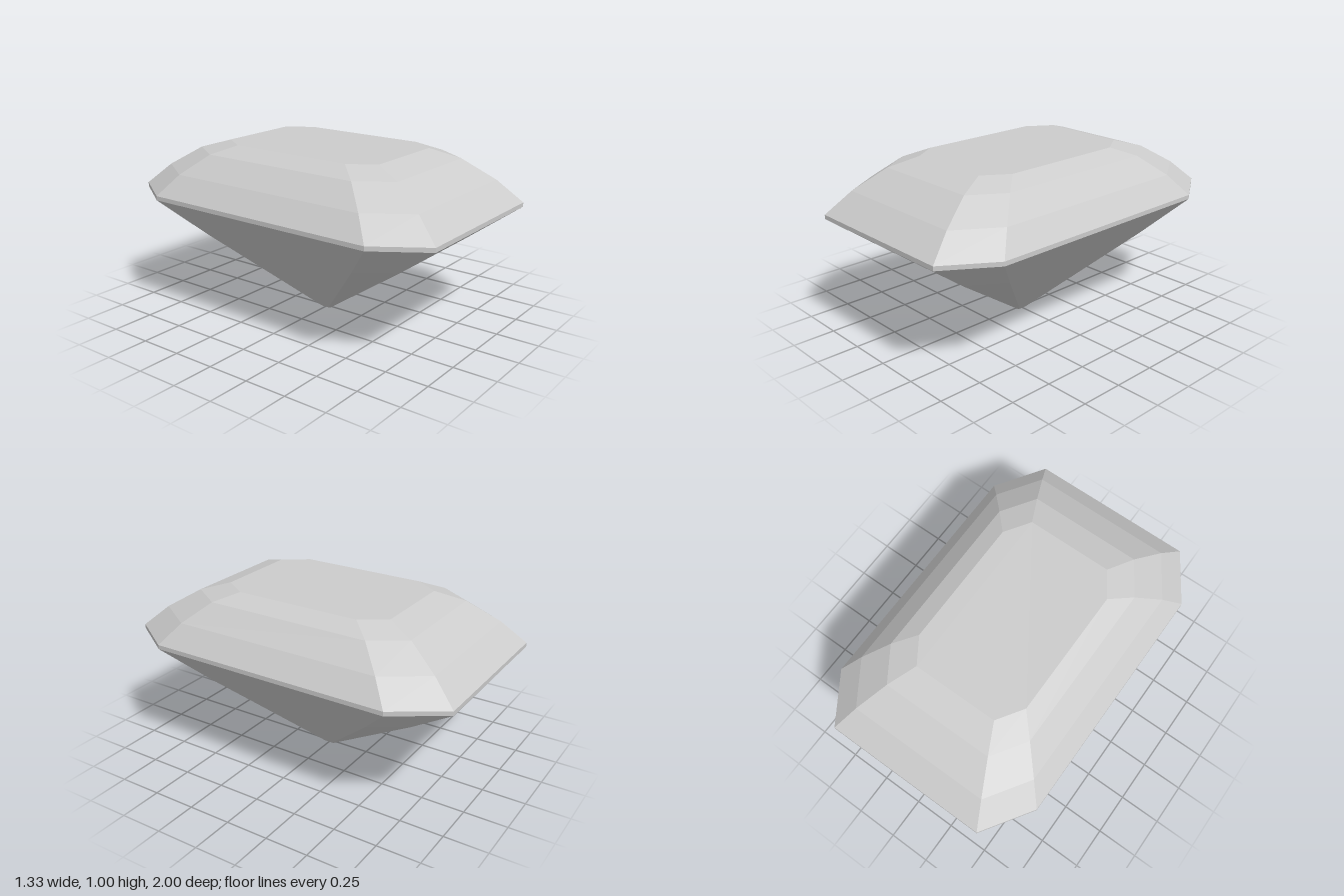
import * as THREE from 'three';

// Girdle outline: rectangle with cut corners, counter-clockwise seen from below
const HX = 0.665, HZ = 1, CX = 0.48, CZ = 0.72;
const outline = [
  [CX, HZ], [HX, CZ], [HX, -CZ], [CX, -HZ],
  [-CX, -HZ], [-HX, -CZ], [-HX, CZ], [-CX, HZ],
];

const ring = ([y, s]) => outline.map(([x, z]) => new THREE.Vector3(x * s, y, z * s));

function meshFrom(name, points, material) {
  const geometry = new THREE.BufferGeometry().setFromPoints(points);
  geometry.computeVertexNormals(); // unshared corners give flat facets
  const mesh = new THREE.Mesh(geometry, material);
  mesh.name = name;
  return mesh;
}

// Bands of flat facets joining rings listed from bottom to top as [height, scale]
function facets(name, levels, material) {
  const points = [];
  for (let k = 0; k < levels.length - 1; k++) {
    const low = ring(levels[k]), high = ring(levels[k + 1]);
    for (let i = 0; i < 8; i++) {
      const j = (i + 1) % 8;
      points.push(low[i], low[j], high[j], low[i], high[j], high[i]);
    }
  }
  return meshFrom(name, points, material);
}

// Flat octagonal cap facing up or down
function cap(name, level, up, material) {
  const r = ring(level), points = [];
  for (let i = 1; i < 7; i++) {
    if (up) points.push(r[0], r[i], r[i + 1]);
    else points.push(r[0], r[i + 1], r[i]);
  }
  return meshFrom(name, points, material);
}

export function createModel() {
  const gem = new THREE.MeshStandardMaterial({ color: 0xcccccc, flatShading: true });
  gem.name = 'pale grey gem';

  const group = new THREE.Group();
  group.name = 'emeraldCutGem';
  group.add(
    cap('culet', [0, 0.034], false, gem),
    facets('pavilion', [[0, 0.034], [0.23, 0.362], [0.477, 0.715], [0.69, 1]], gem),
    facets('girdle', [[0.69, 1], [0.715, 1]], gem),
    facets('crown', [[0.715, 1], [0.837, 0.862], [0.95, 0.682], [1, 0.52]], gem),
    cap('table', [1, 0.52], true, gem),
  );
  return group;
}
